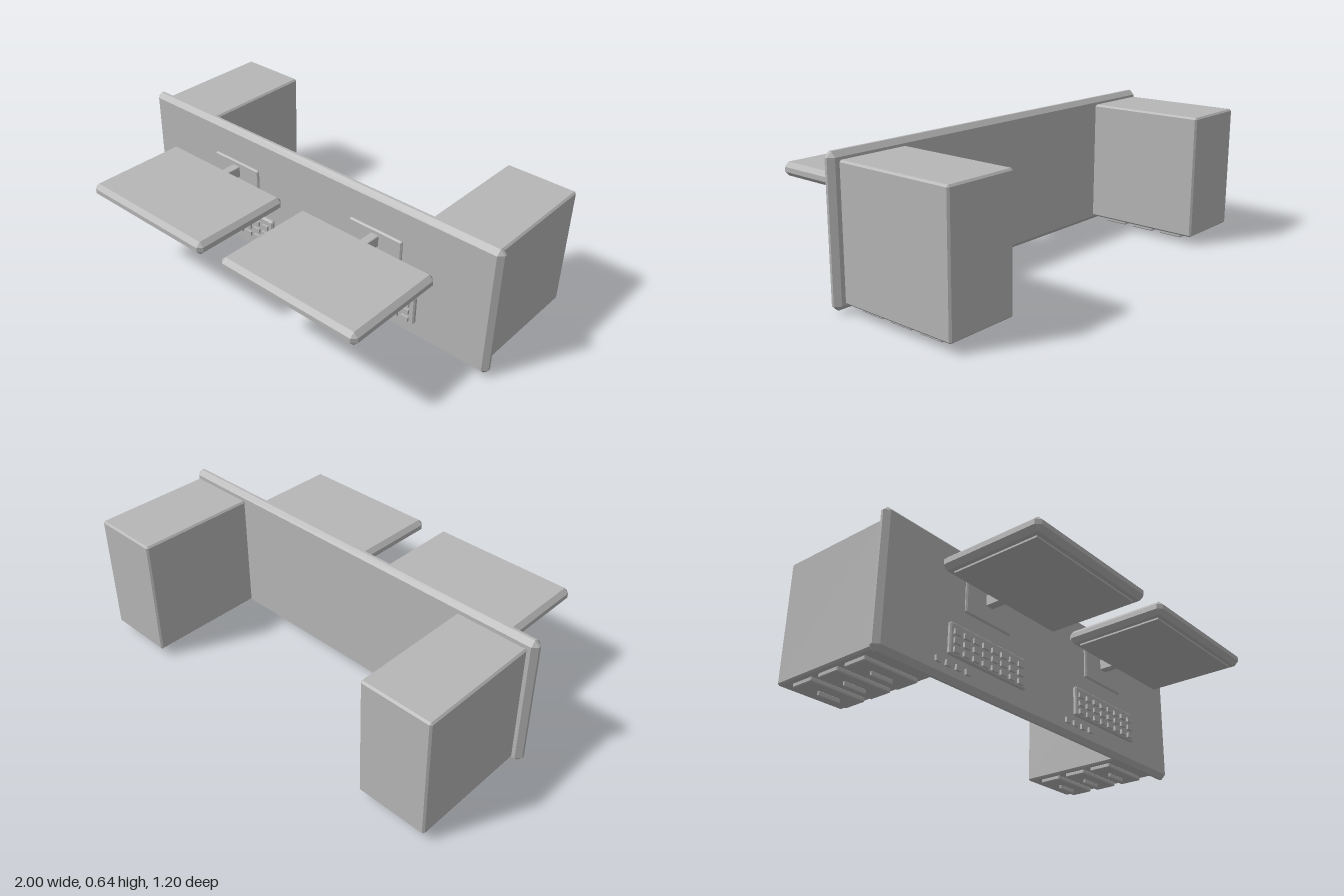
import * as THREE from 'three';
import { ConvexGeometry } from 'three/addons/geometries/ConvexGeometry.js';

const grey = new THREE.MeshStandardMaterial({ color: 0xb6b6b6 });
grey.name = 'plain grey';

// Box given by its min/max corners, with every edge cut by a chamfer c
function chamferBox(name, [x0, x1], [y0, y1], [z0, z1], c) {
  const w = x1 - x0, h = y1 - y0, d = z1 - z0;
  let geometry;
  if (c) {
    const points = [];
    for (const sx of [-1, 1]) for (const sy of [-1, 1]) for (const sz of [-1, 1]) {
      for (let axis = 0; axis < 3; axis++) {
        const half = [w / 2, h / 2, d / 2].map((v, i) => (i === axis ? v : v - c));
        points.push(new THREE.Vector3(sx * half[0], sy * half[1], sz * half[2]));
      }
    }
    geometry = new ConvexGeometry(points);
  } else {
    geometry = new THREE.BoxGeometry(w, h, d);
  }
  const mesh = new THREE.Mesh(geometry, grey);
  mesh.name = name;
  mesh.position.set((x0 + x1) / 2, (y0 + y1) / 2, (z0 + z1) / 2);
  return mesh;
}

// Range of the given width about a centre
const span = (centre, width) => [centre - width / 2, centre + width / 2];

// Drawer pedestal with three drawer fronts and pulls underneath
function makePedestal(x) {
  const group = new THREE.Group();
  group.name = 'drawerPedestal';
  group.add(chamferBox('pedestalBody', span(x, 0.334), [0.041, 0.61], [-0.6, -0.032], 0.008));
  for (const z of [-0.159, -0.316, -0.473]) {
    group.add(chamferBox('drawerFront', span(x, 0.28), [0.021, 0.043], span(z, 0.117), 0.004));
    group.add(chamferBox('drawerPull', span(x, 0.113), [0, 0.022], span(z, 0.012), 0.003));
  }
  return group;
}

// Screen on its stand, keyboard and a row of small buttons
function makeWorkstation(x) {
  const group = new THREE.Group();
  group.name = 'workstation';
  group.position.x = x;
  group.add(chamferBox('monitorCase', span(0, 0.715), [0.408, 0.47], [0.105, 0.603], 0.02));
  group.add(chamferBox('monitorScreen', span(0, 0.635), [0.4, 0.409], [0.146, 0.562], 0));
  group.add(chamferBox('standNeck', span(0, 0.042), [0.412, 0.466], [0.026, 0.125], 0.003));
  group.add(chamferBox('standBase', span(0, 0.28), [0.334, 0.488], [0.033, 0.049], 0.006));
  group.add(chamferBox('keyboard', span(0, 0.468), [0.11, 0.253], [0.036, 0.058], 0.006));
  for (let row = 0; row < 3; row++) {
    for (let col = 0; col < 8; col++) {
      group.add(chamferBox('key', span(-0.2 + col * 0.056, 0.036),
        span(0.131 + row * 0.04, 0.023), [0.056, 0.068], 0));
    }
  }
  for (let i = 0; i < 4; i++) {
    group.add(chamferBox('smallButton', span(-0.288 + i * 0.0567, 0.029),
      span(0.068, 0.025), [0.044, 0.055], 0));
  }
  return group;
}

export function createModel() {
  const model = new THREE.Group();
  model.name = 'desk';
  model.add(chamferBox('desktop', [-1, 1], [0.012, 0.64], [-0.029, 0.027], 0.022));
  for (const side of [-1, 1]) model.add(makePedestal(side * 0.8));
  for (const x of [-0.416, 0.413]) model.add(makeWorkstation(x));
  return model;
}
